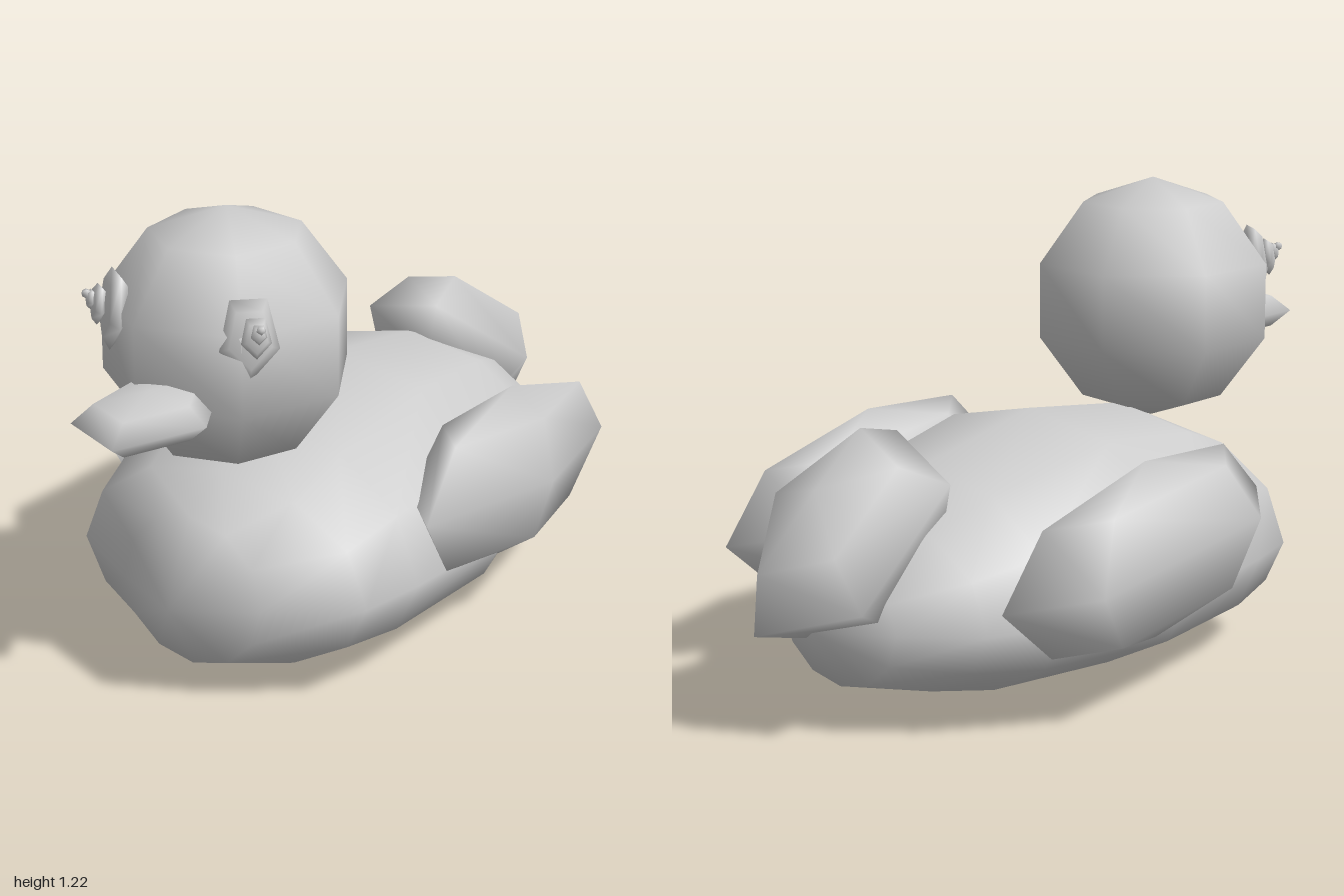
import * as THREE from 'three';

const grey = new THREE.MeshStandardMaterial({ color: 0xcccccc });
grey.name = 'plain grey';

// Low-poly ellipsoid with one corner of its rings on +x
function blob(name, sides, rows, scale, position, pitch = 0) {
  const geometry = new THREE.SphereGeometry(1, sides, rows).rotateY(Math.PI);
  const mesh = new THREE.Mesh(geometry, grey);
  mesh.name = name;
  mesh.scale.set(...scale);
  mesh.position.set(...position);
  mesh.rotation.x = pitch;
  return mesh;
}

// Body lofted from front to back; stations are [z, halfWidth, bottom, top]
function bodyGeometry() {
  const cx = -0.015, midY = 0.27, sides = 12;
  const stations = [
    [0.62, 0.2, 0.08, 0.48],
    [0.48, 0.415, 0.04, 0.55],
    [0.3, 0.46, 0.0, 0.625],
    [-0.08, 0.52, 0.01, 0.675],
    [-0.48, 0.44, 0.035, 0.6],
    [-0.66, 0.355, 0.075, 0.52],
    [-0.79, 0.185, 0.11, 0.42],
  ];
  const points = [], index = [];
  for (const [z, w, bottom, top] of stations) {
    for (let j = 0; j < sides; j++) {
      const t = (j / sides) * Math.PI * 2;
      const c = Math.cos(t);
      points.push(cx + w * Math.sin(t), midY + c * (c > 0 ? top - midY : midY - bottom), z);
    }
  }
  const front = points.length / 3, back = front + 1;
  points.push(cx, 0.27, 0.725, cx, 0.27, -0.885);
  const last = (stations.length - 1) * sides;
  for (let j = 0; j < sides; j++) {
    const k = (j + 1) % sides;
    index.push(front, k, j, back, last + j, last + k);
    for (let i = 0; i < last; i += sides) {
      index.push(i + j, i + k, i + sides + j, i + k, i + sides + k, i + sides + j);
    }
  }
  const geometry = new THREE.BufferGeometry();
  geometry.setAttribute('position', new THREE.Float32BufferAttribute(points, 3));
  geometry.setIndex(index);
  geometry.computeVertexNormals();
  return geometry;
}

// Eye of stacked flattened blobs, facing outward along local +z
function eye(name, side) {
  const group = new THREE.Group();
  group.name = name;
  const layer = (part, scale, position) => {
    const geometry = new THREE.SphereGeometry(1, 5, 4).rotateX(Math.PI / 2).rotateZ(Math.PI / 2);
    const mesh = new THREE.Mesh(geometry, grey);
    mesh.name = part;
    mesh.scale.set(...scale);
    mesh.position.set(...position);
    group.add(mesh);
  };
  layer('eyeball', [0.075, 0.108, 0.03], [0, 0, 0]);
  layer('iris', [0.038, 0.054, 0.02], [side * 0.012, 0.006, 0.034]);
  layer('pupil', [0.02, 0.026, 0.014], [side * 0.016, 0.016, 0.052]);
  layer('glint', [0.012, 0.012, 0.012], [side * 0.02, 0.028, 0.064]);
  group.position.set(-0.015 + side * 0.19, 0.992, 0.642);
  group.lookAt(group.position.clone().add(new THREE.Vector3(side * 0.62, 0.12, 0.75)));
  return group;
}

export function createModel() {
  const model = new THREE.Group();
  model.name = 'duck';

  const body = new THREE.Mesh(bodyGeometry(), grey);
  body.name = 'body';
  model.add(body);

  // Head and beak
  model.add(blob('head', 7, 5, [0.325, 0.325, 0.325], [-0.016, 0.895, 0.435]));
  model.add(blob('beak', 5, 4, [0.157, 0.06, 0.235], [-0.016, 0.805, 0.776]));

  // Wings and upturned tail
  model.add(blob('leftWing', 5, 4, [0.138, 0.23, 0.54], [0.442, 0.4, -0.175], -0.107));
  model.add(blob('rightWing', 5, 4, [0.135, 0.23, 0.54], [-0.48, 0.4, -0.175], -0.107));
  model.add(blob('tail', 5, 4, [0.233, 0.175, 0.34], [-0.013, 0.475, -0.75], -0.686));

  model.add(eye('leftEye', 1), eye('rightEye', -1));
  return model;
}
